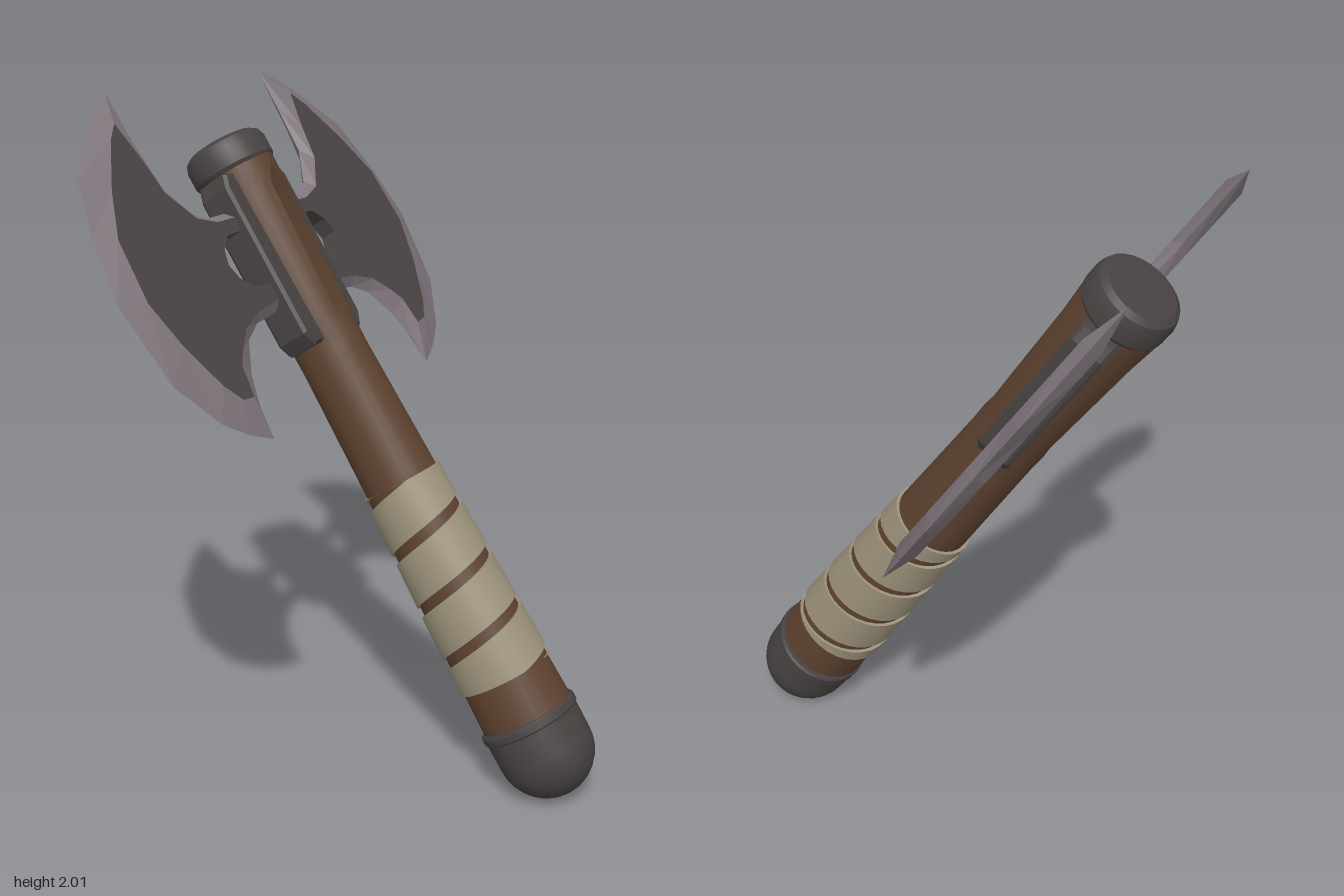
import * as THREE from 'three';
import { mergeGeometries, toCreasedNormals } from 'three/addons/utils/BufferGeometryUtils.js';

const mat = (name, color, side = THREE.FrontSide) => {
  const m = new THREE.MeshStandardMaterial({ color, side });
  m.name = name;
  return m;
};

// Handle profile: height, radius, half-width of the slot
const rows = [
  [0.05, 0.134, 0], [0.5, 0.121, 0], [0.9, 0.106, 0], [1.3, 0.098, 0], [1.365, 0.099, 0],
  [1.42, 0.101, 0.036], [1.82, 0.111, 0.036], [1.88, 0.112, 0], [1.95, 0.112, 0],
];
const DEPTH = 1.09; // the handle is slightly oval
const radiusAt = (a) => {
  const i = Math.max(1, rows.findIndex((r) => r[0] >= a));
  const [p, q] = [rows[i - 1], rows[i]];
  return p[1] + ((q[1] - p[1]) * (a - p[0])) / (q[0] - p[0]);
};

// Skin a list of closed rings with equal point counts
function loft(rings) {
  const pos = [];
  const n = rings[0].length;
  for (let j = 0; j < rings.length - 1; j++) {
    for (let i = 0; i < n; i++) {
      const k = (i + 1) % n;
      const [a, b, c, d] = [rings[j][i], rings[j][k], rings[j + 1][k], rings[j + 1][i]];
      pos.push(...a, ...b, ...c, ...a, ...c, ...d);
    }
  }
  return fromTriangles(pos);
}

function fromTriangles(pos) {
  const g = new THREE.BufferGeometry();
  g.setAttribute('position', new THREE.Float32BufferAttribute(pos, 3));
  g.computeVertexNormals();
  return g;
}

// Two D-shaped halves that part around the slot
function handleGeometry() {
  const halves = [0, Math.PI].map((turn) => loft(rows.map(([a, r, s]) => {
    const phi = Math.asin(s / r);
    return Array.from({ length: 15 }, (_, i) => {
      const t = turn + phi + ((Math.PI - 2 * phi) * i) / 14;
      return [r * Math.sin(t), a, DEPTH * r * Math.cos(t)];
    });
  })));
  return toCreasedNormals(mergeGeometries(halves), 0.6);
}

// Helical strap, cut level at both ends
function strapGeometry() {
  const pitch = 0.17, width = 0.137, top = 0.89, bottom = 0.25;
  const clamp = (v) => Math.min(top, Math.max(bottom, v));
  const rings = [];
  for (let i = 0; i <= 140; i++) {
    const th = (i / 28) * Math.PI * 2;
    const start = 1.085 - (pitch * i) / 28;
    const t = clamp(start), b = clamp(start - width);
    rings.push([[0, b], [0.009, b], [0.009, t], [0, t]].map(([d, a]) => {
      const r = radiusAt(a) + d;
      return [-r * Math.sin(th), a, DEPTH * r * Math.cos(th)];
    }));
  }
  return toCreasedNormals(loft(rings), 0.6);
}

// Blade outline: cutting edge x, y, then the matching flat border x, y
const rim = [
  [0.12, 1.80, 0.12, 1.775], [0.24, 1.80, 0.24, 1.775], [0.31, 1.83, 0.32, 1.80],
  [0.375, 1.93, 0.395, 1.89], [0.383, 2.08, 0.415, 1.99], [0.384, 2.215, 0.45, 2.11],
  [0.51, 2.14, 0.50, 2.065], [0.672, 1.987, 0.60, 1.93], [0.73, 1.83, 0.674, 1.80],
  [0.77, 1.645, 0.69, 1.62], [0.727, 1.40, 0.645, 1.485], [0.623, 1.262, 0.575, 1.35],
  [0.54, 1.205, 0.526, 1.295], [0.453, 1.167, 0.478, 1.29], [0.44, 1.26, 0.46, 1.38],
  [0.405, 1.35, 0.42, 1.42], [0.34, 1.44, 0.36, 1.47], [0.267, 1.475, 0.27, 1.50],
  [0.12, 1.49, 0.12, 1.515],
];
// Opening between the two blade arms
const opening = [[0.12, 1.565], [0.23, 1.57], [0.275, 1.605], [0.293, 1.65], [0.275, 1.695], [0.23, 1.73], [0.12, 1.735]];
const H = 0.027;

// Slanted strips from the flat border down to the middle plane, on both sides
function bevel(list) {
  const pos = [];
  for (let i = 0; i < list.length - 1; i++) {
    const [p, q] = [list[i], list[i + 1]];
    for (const z of [H, -H]) {
      const a = [p[2], p[3], z], b = [q[2], q[3], z], c = [q[0], q[1], 0], d = [p[0], p[1], 0];
      pos.push(...(z > 0 ? [a, b, c, a, c, d] : [a, c, b, a, d, c]).flat());
    }
  }
  return fromTriangles(pos);
}

function bladeFlats() {
  const outline = [...rim.map((p) => [p[2], p[3]]), ...opening];
  const shape = new THREE.Shape(outline.map(([x, y]) => new THREE.Vector2(x, y)));
  return mergeGeometries([H, -H].map((z) => new THREE.ShapeGeometry(shape).translate(0, 0, z)));
}

export function createModel() {
  const wood = mat('brown wood', 0x5c412f);
  const cloth = mat('tan strap', 0x9a9079);
  const iron = mat('dark iron', 0x474241);
  const steel = mat('blade steel', 0x4b4444, THREE.DoubleSide);
  const edge = mat('sharpened edge', 0x7f757c, THREE.DoubleSide);

  const axe = new THREE.Group();
  axe.name = 'axe';
  const add = (parent, name, geometry, material) => {
    const m = new THREE.Mesh(geometry, material);
    m.name = name;
    parent.add(m);
    return m;
  };

  add(axe, 'handle', handleGeometry(), wood);
  add(axe, 'gripStrap', strapGeometry(), cloth);

  // Rounded pommel with a lip, and the chamfered top cap
  const lathe = (pts) => toCreasedNormals(
    new THREE.LatheGeometry(pts.map(([r, y]) => new THREE.Vector2(r, y)), 28), 0.5);
  const dome = Array.from({ length: 9 }, (_, i) => {
    const t = (i / 8) * Math.PI / 2;
    return [0.145 * Math.sin(t), -0.145 * Math.cos(t)];
  });
  add(axe, 'pommel', lathe([...dome, [0.146, 0.085], [0.151, 0.09], [0.151, 0.11], [0.145, 0.117], [0.12, 0.117]]), iron);
  add(axe, 'topCap', lathe([[0.1, 1.905], [0.12, 1.905], [0.126, 1.915], [0.126, 1.965], [0.118, 1.988], [0.1, 2.0], [0, 2.004]]), iron);

  // Side plates and blades, the second set turned half round
  const plate = new THREE.Shape([[0.075, 1.36], [0.125, 1.36], [0.147, 1.395], [0.147, 1.855], [0.13, 1.89], [0.075, 1.89]]
    .map(([x, y]) => new THREE.Vector2(x, y)));
  const plateGeometry = new THREE.ExtrudeGeometry(plate, {
    depth: 0.09, bevelEnabled: true, bevelSegments: 1, bevelSize: 0.008, bevelThickness: 0.01,
  }).translate(0, 0, -0.045);
  const flats = bladeFlats();
  const rimGeometry = bevel(rim);
  const openingGeometry = bevel(opening.map(([x, y]) => [x, y, x, y]));
  ['left', 'right'].forEach((side, i) => {
    const head = new THREE.Group();
    head.name = side + 'Head';
    head.rotation.y = i ? 0 : Math.PI;
    add(head, 'sidePlate', plateGeometry, iron);
    add(head, 'bladeFlats', flats, steel);
    add(head, 'bladeOpening', openingGeometry, steel);
    add(head, 'bladeEdge', rimGeometry, edge);
    axe.add(head);
  });

  // Lean the axe: y along the handle, x across the blades
  const along = new THREE.Vector3(-0.541, 0.839, 0.065).normalize();
  const across = new THREE.Vector3(-0.136, -0.011, -0.99);
  const face = new THREE.Vector3().crossVectors(across, along).normalize();
  across.crossVectors(along, face);
  axe.quaternion.setFromRotationMatrix(new THREE.Matrix4().makeBasis(across, along, face));
  axe.position.set(0.555, 0.145, -0.105);

  const model = new THREE.Group();
  model.name = 'doubleBladedAxe';
  model.add(axe);
  return model;
}
